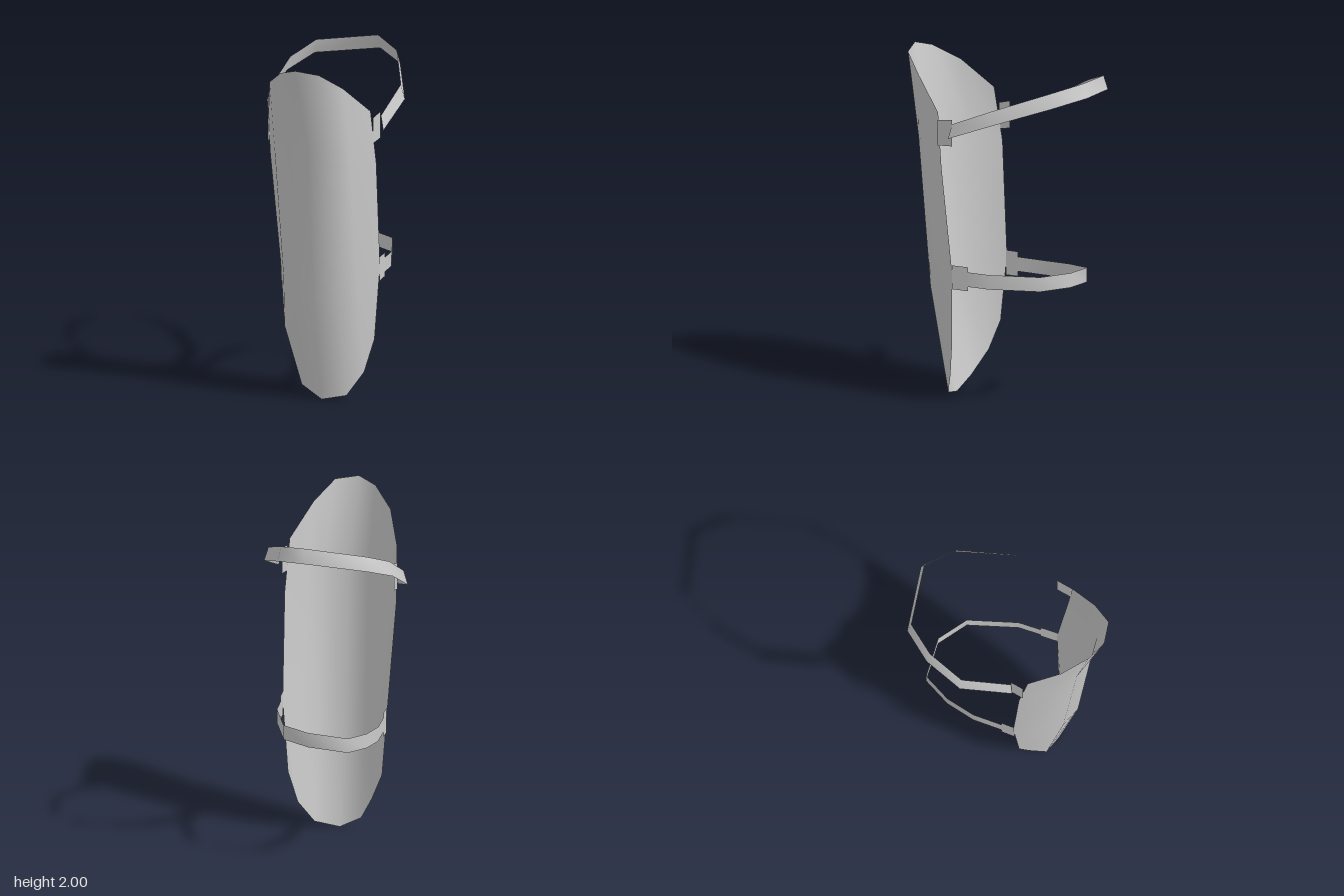
import * as THREE from 'three';

const material = new THREE.MeshStandardMaterial({ color: 0xcccccc, side: THREE.DoubleSide });

// Smooth sheet lofted through rows of [x, y, z] points
function sheet(name, rows) {
  const n = rows[0].length, index = [];
  for (let r = 0; r < rows.length - 1; r++) {
    for (let c = 0; c < n - 1; c++) {
      const a = r * n + c, b = a + n;
      index.push(a, b, a + 1, a + 1, b, b + 1);
    }
  }
  const geometry = new THREE.BufferGeometry();
  geometry.setAttribute('position', new THREE.Float32BufferAttribute(rows.flat(2), 3));
  geometry.setIndex(index);
  geometry.computeVertexNormals();
  const mesh = new THREE.Mesh(geometry, material);
  mesh.name = name;
  return mesh;
}

// Band whose lower edge is moved from its upper edge; path runs from the model's right to its left
function strap(name, path, height, flare) {
  const cx = 0.03, cz = -0.12;
  const lower = path.map(([x, y, z]) => {
    const d = Math.hypot(x - cx, z - cz);
    return [x + flare * (x - cx) / d, y - height, z + flare * (z - cz) / d];
  });
  return sheet(name, [path, lower]);
}

// Small upright plate joining a strap to the shell edge
function tab(name, [x0, z0, top0, bottom0], [x1, z1, top1, bottom1]) {
  return sheet(name, [
    [[x0, top0, z0], [x1, top1, z1]],
    [[x0, bottom0, z0], [x1, bottom1, z1]],
  ]);
}

export function createModel() {
  const group = new THREE.Group();
  group.name = 'shinGuard';

  // Curved shell: four cross-sections from the flared knee to the rounded ankle
  group.add(sheet('shell', [
    [[-0.265, 1.71, 0.25], [-0.18, 1.87, 0.42], [-0.06, 1.965, 0.535], [0.05, 2, 0.58],
      [0.18, 1.98, 0.545], [0.27, 1.88, 0.415], [0.36, 1.71, 0.23]],
    [[-0.275, 1.4, 0.2], [-0.18, 1.46, 0.35], [-0.04, 1.51, 0.45], [0.08, 1.53, 0.48],
      [0.22, 1.51, 0.45], [0.29, 1.46, 0.36], [0.38, 1.4, 0.195]],
    [[-0.235, 0.75, 0.145], [-0.16, 0.69, 0.27], [-0.05, 0.64, 0.37], [0.08, 0.62, 0.4],
      [0.22, 0.64, 0.37], [0.3, 0.69, 0.28], [0.373, 0.78, 0.127]],
    [[-0.2, 0.37, 0.165], [-0.13, 0.21, 0.2], [-0.05, 0.07, 0.265], [0.08, 0, 0.28],
      [0.22, 0.03, 0.25], [0.3, 0.16, 0.185], [0.347, 0.35, 0.145]],
  ]));

  // Upper strap rises towards the back of the knee
  group.add(strap('upperStrap', [
    [-0.275, 1.6, 0.15], [-0.4, 1.69, -0.1], [-0.375, 1.81, -0.31], [-0.285, 1.88, -0.47],
    [0.06, 1.925, -0.553], [0.228, 1.885, -0.433], [0.383, 1.775, -0.14], [0.378, 1.66, 0.125],
  ], 0.083, 0.025));
  group.add(tab('upperRightTab', [-0.275, 0.225, 1.62, 1.465], [-0.275, 0.15, 1.64, 1.48]));
  group.add(tab('upperLeftTab', [0.372, 0.225, 1.67, 1.52], [0.376, 0.125, 1.685, 1.53]));

  // Lower strap runs nearly level around the calf
  group.add(strap('lowerStrap', [
    [-0.235, 0.745, 0.07], [-0.25, 0.745, -0.1], [-0.23, 0.757, -0.27], [-0.165, 0.775, -0.435],
    [0.06, 0.8, -0.468], [0.23, 0.8, -0.37], [0.343, 0.8, -0.1], [0.36, 0.8, 0.04],
  ], 0.085, 0));
  group.add(tab('lowerRightTab', [-0.23, 0.15, 0.775, 0.63], [-0.235, 0.07, 0.775, 0.63]));
  group.add(tab('lowerLeftTab', [0.372, 0.13, 0.83, 0.69], [0.36, 0.03, 0.83, 0.69]));

  return group;
}
